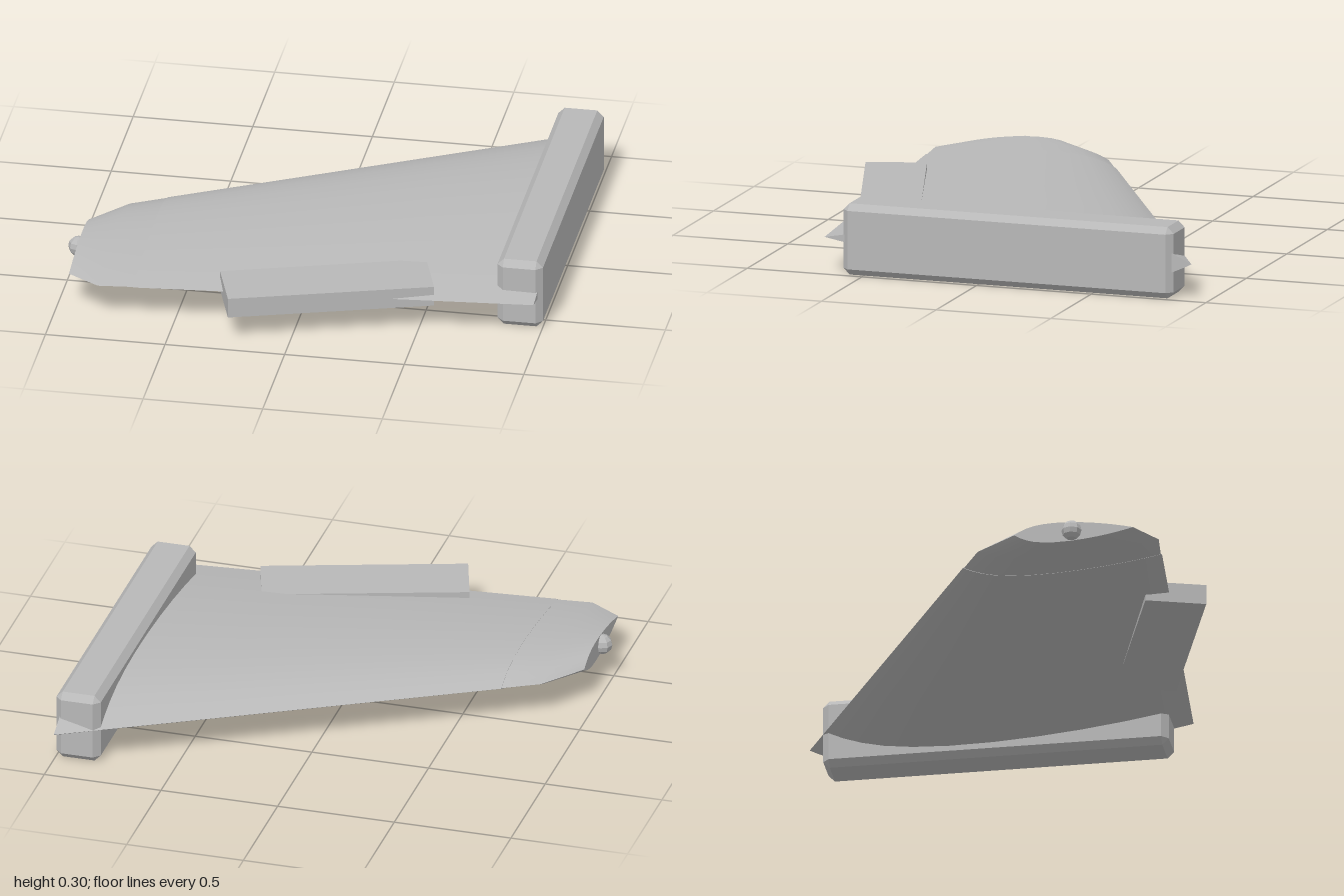
import * as THREE from 'three';
import { ConvexGeometry } from 'three/addons/geometries/ConvexGeometry.js';

const MID = 0.152; // height of the wing's chord plane

// half thickness along the chord, from the back edge (0) to the front edge (1)
const PROFILE = [
  [0, 0], [0.02, 0.15], [0.05, 0.35], [0.1, 0.6], [0.16, 0.8], [0.24, 0.94], [0.34, 1],
  [0.46, 0.97], [0.58, 0.86], [0.7, 0.69], [0.82, 0.46], [0.92, 0.22], [1, 0],
];

// lofts the profile through sections [x, back z, front z, half thickness], root first
function loftWing(sections) {
  const pos = [], idx = [], n = PROFILE.length;
  const addSheet = (secs, side) => {
    const base = pos.length / 3;
    for (const [x, zb, zf, t] of secs)
      for (const [u, h] of PROFILE) pos.push(x, MID + side * t * h, zb + (zf - zb) * u);
    return base;
  };
  const quad = (a, b, c, d, flip) =>
    idx.push(...(flip ? [a, b, c, b, d, c] : [a, c, b, b, c, d]));
  // upper and lower skins, kept apart so the edges stay sharp
  for (const side of [1, -1]) {
    const s = addSheet(sections, side);
    for (let i = 0; i < sections.length - 1; i++)
      for (let j = 0; j < n - 1; j++) {
        const a = s + i * n + j;
        quad(a, a + 1, a + n, a + n + 1, side < 0);
      }
  }
  // flat end faces
  for (const [sec, isRoot] of [[sections[0], true], [sections[sections.length - 1], false]]) {
    const top = addSheet([sec], 1), low = addSheet([sec], -1);
    for (let j = 0; j < n - 1; j++) quad(top + j, top + j + 1, low + j, low + j + 1, isRoot);
  }
  const g = new THREE.BufferGeometry();
  g.setAttribute('position', new THREE.Float32BufferAttribute(pos, 3));
  g.setIndex(idx);
  g.computeVertexNormals();
  return g;
}

// box with every edge chamfered by c
function chamferBox(w, h, d, c) {
  const pts = [];
  for (const sx of [-1, 1]) for (const sy of [-1, 1]) for (const sz of [-1, 1])
    for (let full = 0; full < 3; full++) {
      const inset = (k) => (k === full ? 0 : c);
      pts.push(new THREE.Vector3(
        sx * (w / 2 - inset(0)), sy * (h / 2 - inset(1)), sz * (d / 2 - inset(2))));
    }
  return new ConvexGeometry(pts);
}

export function createModel() {
  const model = new THREE.Group();
  model.name = 'wing';
  const grey = new THREE.MeshStandardMaterial({ color: 0xb8b8b8 });
  grey.name = 'hull grey';
  const flatGrey = grey.clone();
  flatGrey.flatShading = true;

  const add = (name, geometry, x = 0, y = 0, z = 0, material = grey) => {
    const mesh = new THREE.Mesh(geometry, material);
    mesh.name = name;
    mesh.position.set(x, y, z);
    model.add(mesh);
    return mesh;
  };

  // swept main panel and clipped tip
  add('mainPanel', loftWing([
    [0.98, -0.93, 0.67, 0.108],
    [0.43, -0.627, 0.717, 0.09],
    [-0.12, -0.323, 0.763, 0.072],
    [-0.67, -0.02, 0.81, 0.054],
  ]));
  add('wingTip', loftWing([
    [-0.67, -0.015, 0.805, 0.053],
    [-0.815, 0.065, 0.82, 0.049],
    [-0.95, 0.24, 0.735, 0.044],
  ]));

  // chamfered mounting block along the root
  add('rootBlock', chamferBox(0.19, 0.3, 1.44, 0.027), 0.905, 0.15, -0.13, flatGrey);

  // deflected flap set into the front edge
  const flap = add('flap', new THREE.BoxGeometry(0.855, 0.086, 0.253), 0.118, 0.153, 0.675);
  flap.rotation.y = 0.309;

  // small faceted lamp on the tip
  add('tipLamp', new THREE.SphereGeometry(0.042, 8, 6), -0.958, MID, 0.48, flatGrey);

  return model;
}
